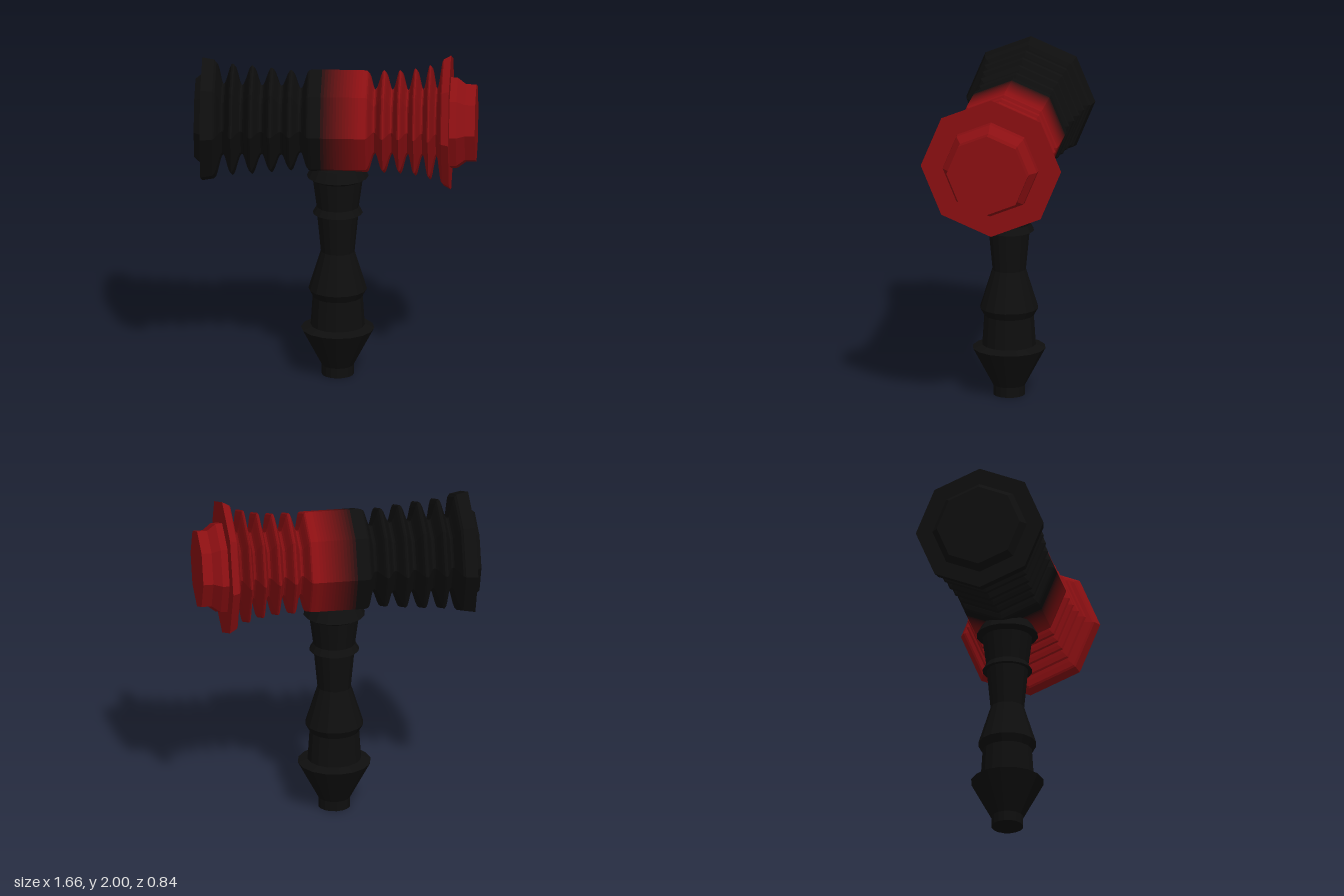
import * as THREE from 'three';

const BLACK = new THREE.Color(0x0e0e0e);
const RED = new THREE.Color(0x8b0f12);
const AXIS_Y = 1.58;

function material(color) {
  return new THREE.MeshStandardMaterial({ color, flatShading: true });
}

// Turned part: profile is a list of [radius, position along the axis]
function turned(name, profile, sides, color) {
  const points = profile.map(([r, t]) => new THREE.Vector2(r, t));
  const mesh = new THREE.Mesh(new THREE.LatheGeometry(points, sides), material(color));
  mesh.name = name;
  return mesh;
}

// Rounded wave through alternating valleys and peaks
function wave(stops, steps = 6) {
  const out = [stops[0]];
  for (let i = 1; i < stops.length; i++) {
    const [r0, t0] = stops[i - 1], [r1, t1] = stops[i];
    for (let k = 1; k <= steps; k++) {
      const u = k / steps;
      out.push([r0 + (r1 - r0) * (1 - Math.cos(Math.PI * u)) / 2, t0 + (t1 - t0) * u]);
    }
  }
  return out;
}

export function createModel() {
  const model = new THREE.Group();
  model.name = 'hammer';

  // Octagonal head, turned about y and laid along x
  const head = new THREE.Group();
  head.name = 'head';
  head.rotation.z = -Math.PI / 2;
  head.position.y = AXIS_Y;
  model.add(head);

  // Dark half: end cap, flange and ribs
  head.add(turned('darkRibbedHalf', [
    [0, -0.83], [0.25, -0.83], [0.285, -0.79], [0.385, -0.79], [0.372, -0.72],
    ...wave([[0.365, -0.715], [0.22, -0.665], [0.35, -0.61], [0.215, -0.555],
      [0.34, -0.495], [0.215, -0.437], [0.328, -0.38], [0.215, -0.322],
      [0.315, -0.265], [0.2, -0.207], [0.315, -0.155]]),
    [0.32, -0.14], [0.32, -0.1],
  ], 8, BLACK));

  // Middle sleeve: narrow bands blending from dark to red
  const bands = 14, start = -0.1, end = 0.16;
  for (let i = 0; i < bands; i++) {
    const t0 = start + (end - start) * i / bands;
    const t1 = start + (end - start) * (i + 1) / bands;
    const color = BLACK.clone().lerp(RED, i / (bands - 1));
    head.add(turned('sleeveBand', [[0.32, t0], [0.32, t1]], 8, color));
  }

  // Red half: ribs, flared flange and stepped striking face
  head.add(turned('redRibbedHalf', [
    [0.32, 0.16],
    ...wave([[0.318, 0.185], [0.2, 0.232], [0.322, 0.285], [0.2, 0.335],
      [0.325, 0.38], [0.2, 0.427], [0.337, 0.47], [0.205, 0.515],
      [0.36, 0.557], [0.21, 0.597], [0.395, 0.637]]),
    [0.42, 0.68], [0.285, 0.68], [0.282, 0.72], [0.25, 0.76], [0.242, 0.77],
    [0.242, 0.83], [0, 0.83],
  ], 8, RED));

  // Turned handle with flared pommel and collars
  const handle = turned('handle', [
    [0, 0], [0.095, 0], [0.095, 0.06], [0.217, 0.29], [0.16, 0.31], [0.148, 0.49],
    [0.173, 0.535], [0.1, 0.77], [0.123, 1.01], [0.148, 1.01], [0.125, 1.05],
    [0.148, 1.22], [0.183, 1.24], [0.15, 1.3], [0.12, 1.34], [0, 1.34],
  ], 16, BLACK);
  handle.position.x = 0.01;
  model.add(handle);

  return model;
}
